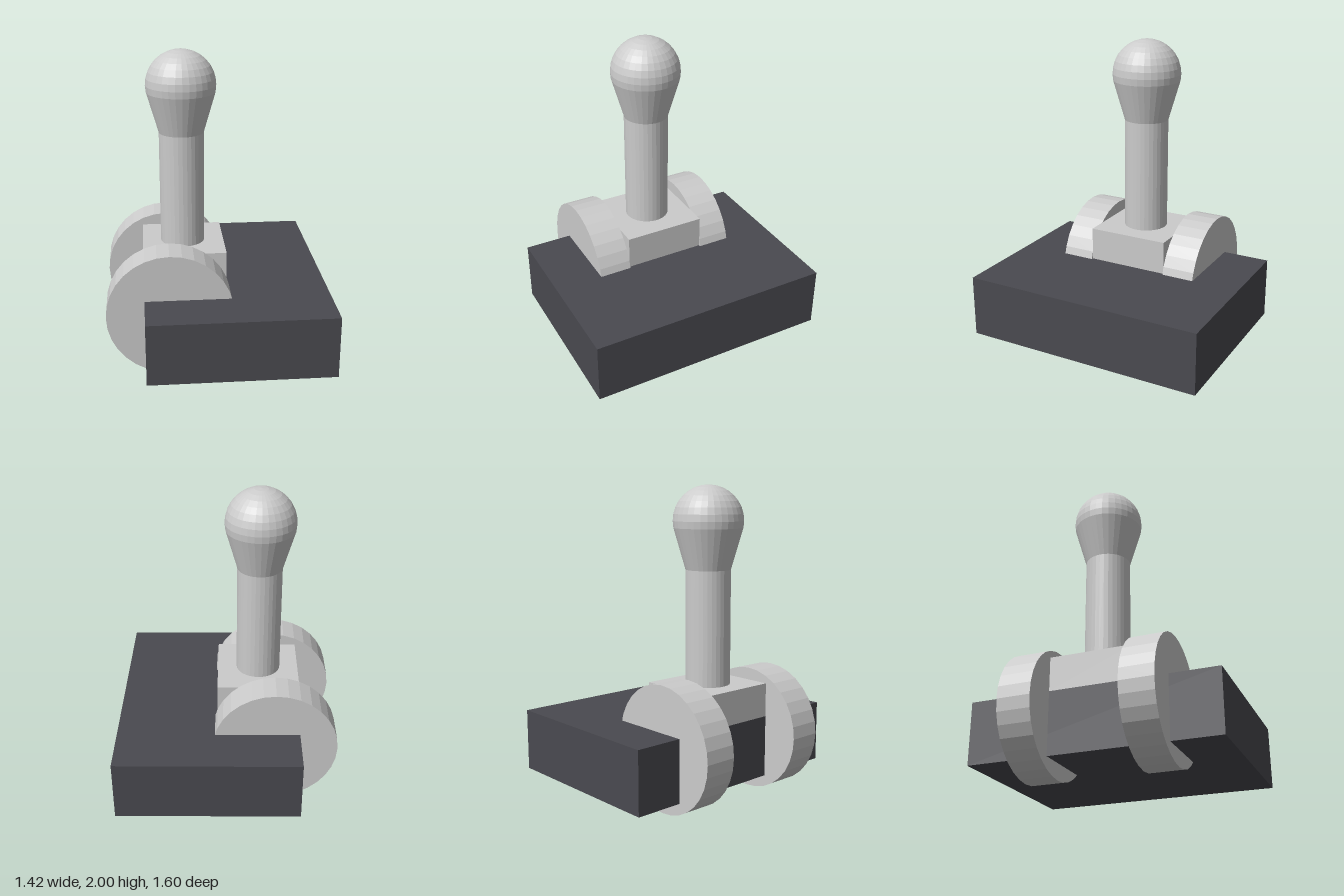
import * as THREE from 'three';

const grey = new THREE.MeshStandardMaterial({ color: 0xcccccc, flatShading: true });
const dark = new THREE.MeshStandardMaterial({ color: 0x4a4a50, flatShading: true });

function addPart(group, name, geometry, material, x, y, z) {
  const mesh = new THREE.Mesh(geometry, material);
  mesh.name = name;
  mesh.position.set(x, y, z);
  group.add(mesh);
  return mesh;
}

export function createModel() {
  const model = new THREE.Group();
  model.name = 'leverOnBase';

  // Dark slab and the pivot block standing on it, flush with its -x edge
  addPart(model, 'base', new THREE.BoxGeometry(1.18, 0.405, 1.6), dark, 0.12, 0.3075, 0);
  addPart(model, 'pivotBlock', new THREE.BoxGeometry(0.535, 0.22, 0.54), grey, -0.2025, 0.62, 0);

  // Pair of discs sunk into the slab on both sides of the block
  for (const side of [1, -1]) {
    const disc = addPart(model, side > 0 ? 'frontDisc' : 'backDisc',
      new THREE.CylinderGeometry(0.405, 0.405, 0.215, 32), grey, -0.31, 0.405, side * 0.378);
    disc.rotation.x = Math.PI / 2;
  }

  // Straight shaft
  addPart(model, 'shaft', new THREE.CylinderGeometry(0.145, 0.145, 0.74, 32), grey, -0.205, 1.10, 0);

  // Knob: a flared neck running into a round top
  const profile = [new THREE.Vector2(0.145, 1.47)];
  const radius = 0.225, step = Math.PI / 16;
  for (let i = -1; i <= 8; i++) {
    const r = i === 8 ? 0 : radius * Math.cos(i * step);
    profile.push(new THREE.Vector2(r, 1.775 + radius * Math.sin(i * step)));
  }
  addPart(model, 'knob', new THREE.LatheGeometry(profile, 32), grey, -0.205, 0, 0);

  return model;
}
